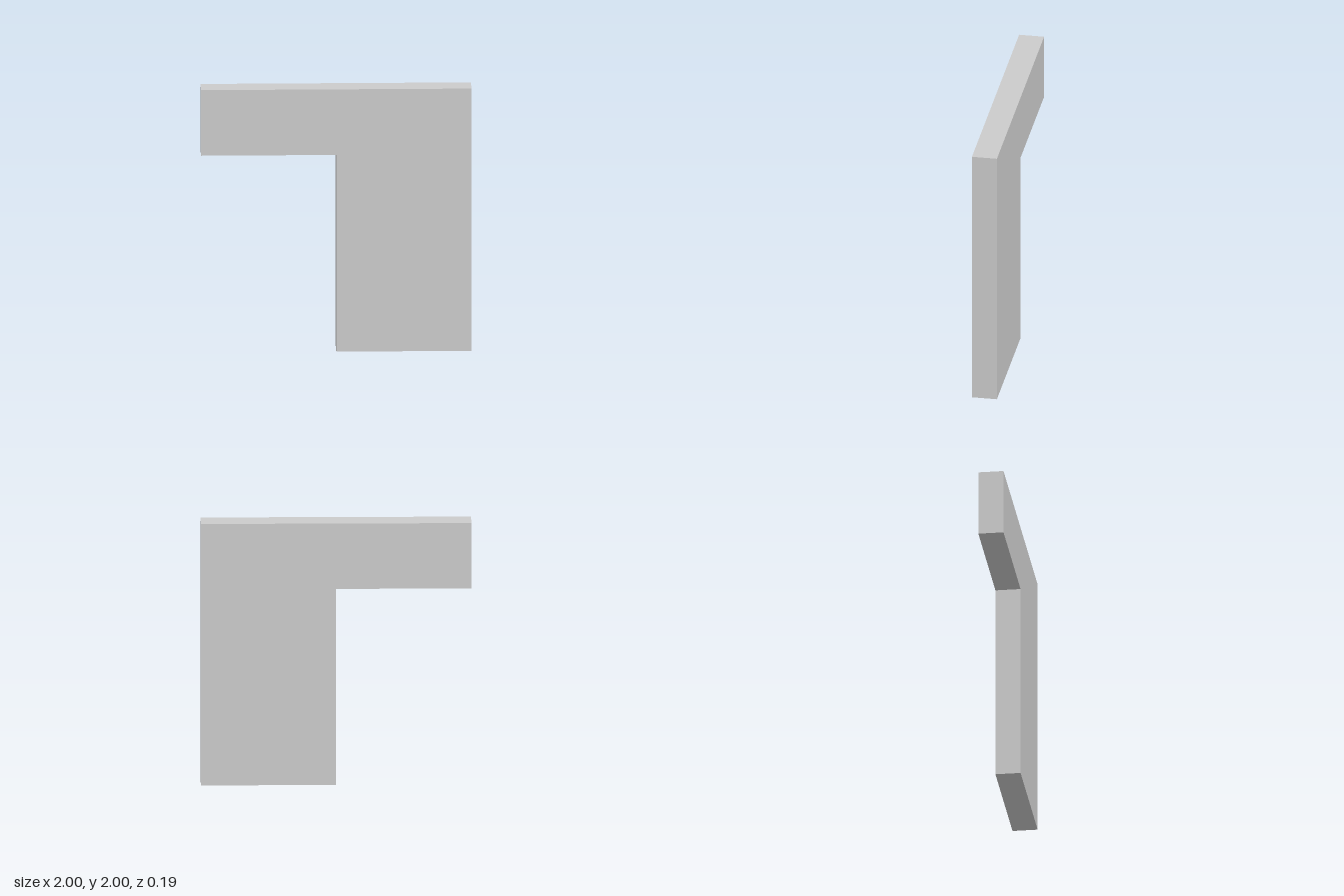
import * as THREE from 'three';

const DEPTH = 0.1875;

export function createModel() {
  const group = new THREE.Group();
  group.name = 'angledPanel';

  // Upright slab with an arm reaching out at the top towards -x
  const outline = new THREE.Shape([
    [0, 0], [1, 0], [1, 2], [-1, 2], [-1, 1.5], [0, 1.5],
  ].map(([x, y]) => new THREE.Vector2(x, y)));

  const geometry = new THREE.ExtrudeGeometry(outline, { depth: DEPTH, bevelEnabled: false });
  geometry.translate(0, 0, -DEPTH / 2);

  const panel = new THREE.Mesh(
    geometry,
    new THREE.MeshStandardMaterial({ color: 0xcccccc, flatShading: true }),
  );
  panel.name = 'panel';
  group.add(panel);
  return group;
}
